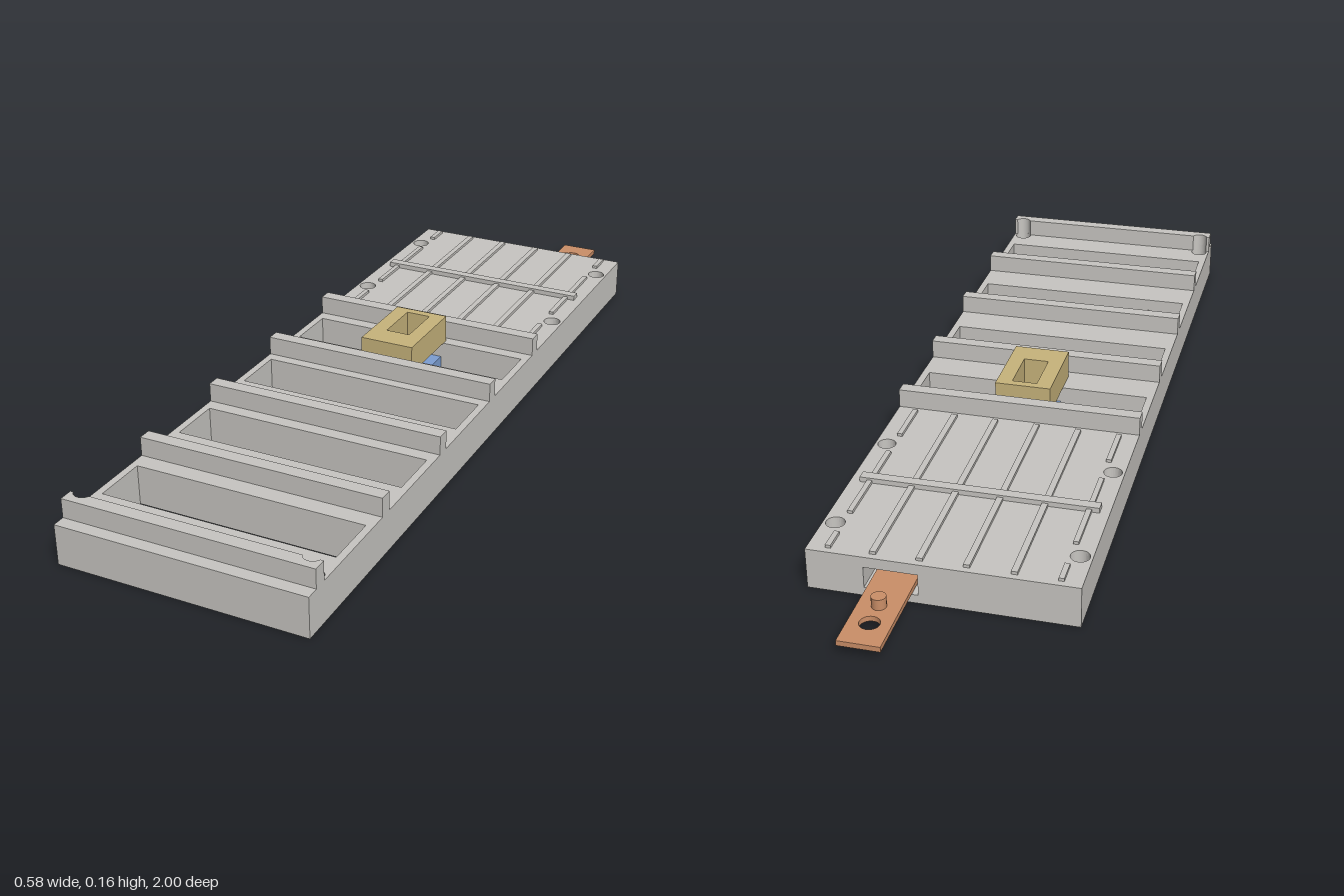
import * as THREE from 'three';

const mat = (name, color) => new THREE.MeshStandardMaterial({ name, color });

// Rectangle outline in plan; y of the shape is -z
function rect(target, x0, x1, z0, z1) {
  target.moveTo(x0, -z0);
  target.lineTo(x0, -z1);
  target.lineTo(x1, -z1);
  target.lineTo(x1, -z0);
  target.closePath();
  return target;
}
const rectHole = (...a) => rect(new THREE.Path(), ...a);
const roundHole = (x, z, r) => new THREE.Path().absarc(x, -z, r, 0, Math.PI * 2, true);

// Plan shape raised from y0 to y1
function slab(shape, y0, y1) {
  const g = new THREE.ExtrudeGeometry(shape, { depth: y1 - y0, bevelEnabled: false, curveSegments: 16 });
  return g.rotateX(-Math.PI / 2).translate(0, y0, 0);
}

export function createModel() {
  const model = new THREE.Group();
  const grey = mat('housing grey', 0xc8c6c2);
  const tan = mat('block tan', 0xc8b47c);
  const blue = mat('actuator blue', 0x7d9fd3);
  const copper = mat('terminal copper', 0xcb8f68);

  const add = (name, geometry, material) => {
    const m = new THREE.Mesh(geometry, material);
    m.name = name;
    model.add(m);
    return m;
  };
  const box = (name, x0, x1, y0, y1, z0, z1, material) =>
    add(name, new THREE.BoxGeometry(x1 - x0, y1 - y0, z1 - z0)
      .translate((x0 + x1) / 2, (y0 + y1) / 2, (z0 + z1) / 2), material);

  const W = 0.292, TOP = 0.095;
  const slots = [[0.155, 0.283], [0.438, 0.565], [0.73, 0.858]];
  const screws = [-0.69, -0.35, 0.93];

  // Housing layers: floor, middle with terminal pocket, top deck
  const layer = (name, y0, y1, blindSlot, pocket) => {
    const s = new THREE.Shape();
    s.moveTo(-W, -1);
    s.lineTo(W, -1);
    s.lineTo(W, 0.8);
    if (pocket) {
      s.lineTo(0.167, 0.8);
      s.lineTo(0.167, 0.69);
      s.lineTo(0.05, 0.69);
      s.lineTo(0.05, 0.8);
    }
    s.lineTo(-W, 0.8);
    s.closePath();
    for (const [a, b] of slots) s.holes.push(rectHole(-0.275, 0.275, a, b));
    if (blindSlot) s.holes.push(rectHole(-0.275, 0.275, -0.11, 0.012));
    for (const z of screws) for (const x of [-0.265, 0.265]) s.holes.push(roundHole(x, z, 0.021));
    add(name, slab(s, y0, y1), grey);
  };
  layer('housingFloor', 0, 0.02, false, false);
  layer('housingWalls', 0.02, 0.07, true, true);
  layer('housingDeck', 0.07, TOP, true, false);

  // Cross ribs
  for (const z of [-0.157, 0.113, 0.39, 0.672]) box('crossRib', -W, W, TOP, 0.14, z - 0.016, z + 0.016, grey);

  // Front rib, relieved around the two screw holes
  const rib = new THREE.Shape();
  rib.moveTo(-W, -0.97);
  rib.lineTo(W, -0.97);
  rib.lineTo(W, -0.938);
  const half = Math.acos(0.008 / 0.021);
  for (const x of [0.265, -0.265])
    rib.absarc(x, -0.93, 0.021, -Math.PI / 2 + half, -Math.PI / 2 - half, true);
  rib.lineTo(-W, -0.938);
  rib.closePath();
  add('frontRib', slab(rib, TOP, 0.14), grey);

  // Fine lengthwise strips on the rear deck, the outer ones broken at the screws
  for (const x of [-0.15, -0.05, 0.05, 0.15]) box('deckStrip', x - 0.007, x + 0.007, TOP, 0.102, -0.785, -0.19, grey);
  for (const x of [-0.247, 0.247])
    for (const [a, b] of [[-0.785, -0.73], [-0.65, -0.39], [-0.31, -0.19]])
      box('outerDeckStrip', x - 0.006, x + 0.006, TOP, 0.102, a, b, grey);
  box('deckCrossBar', -0.27, 0.27, TOP, 0.107, -0.522, -0.498, grey);

  // Small button on a slot wall
  add('slotButton', new THREE.CylinderGeometry(0.025, 0.025, 0.01, 20)
    .rotateX(Math.PI / 2).translate(-0.18, 0.04, 0.563), grey);

  // Window block straddling the blind slot
  const block = rect(new THREE.Shape(), -0.067, 0.067, -0.125, 0.075);
  block.holes.push(rectHole(-0.03, 0.03, -0.105, 0.012));
  add('windowBlock', slab(block, TOP, 0.163), tan);

  // Actuator inside the slot
  box('actuator', -0.062, 0.062, 0.02, 0.058, -0.108, 0.01, blue);
  add('actuatorButton', new THREE.CylinderGeometry(0.028, 0.028, 0.012, 24).translate(0, 0.062, -0.025), blue);

  // Terminal tab with hole and stud
  const tab = rect(new THREE.Shape(), 0.063, 0.155, -1, -0.7);
  tab.holes.push(roundHole(0.109, -0.93, 0.022));
  add('terminalTab', slab(tab, 0.022, 0.034), copper);
  add('terminalStud', new THREE.CylinderGeometry(0.016, 0.016, 0.028, 20).translate(0.109, 0.045, -0.872), copper);

  return model;
}
